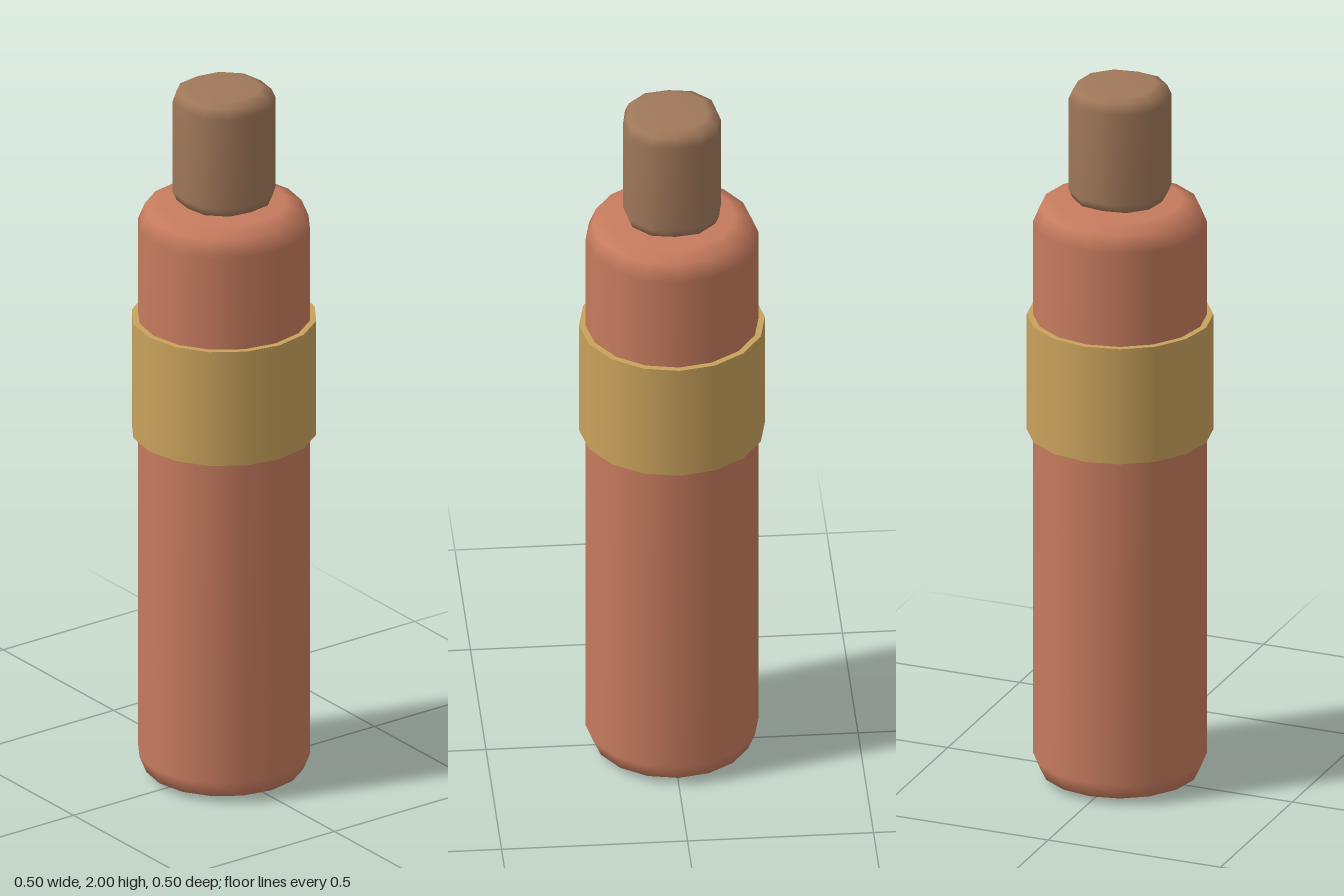
import * as THREE from 'three';

const material = (name, color) => {
  const m = new THREE.MeshStandardMaterial({ color });
  m.name = name;
  return m;
};

// Solid of revolution with both rims rounded in two steps
function roundedCylinder(radius, y0, y1, bevel, sides) {
  const points = [new THREE.Vector2(0, y0)];
  for (let i = 0; i <= 2; i++) {
    const a = (i * Math.PI) / 4;
    points.push(new THREE.Vector2(radius - bevel + bevel * Math.sin(a), y0 + bevel - bevel * Math.cos(a)));
  }
  for (let i = 0; i <= 2; i++) {
    const a = (i * Math.PI) / 4;
    points.push(new THREE.Vector2(radius - bevel + bevel * Math.cos(a), y1 - bevel + bevel * Math.sin(a)));
  }
  points.push(new THREE.Vector2(0, y1));
  return new THREE.LatheGeometry(points, sides);
}

export function createModel() {
  const group = new THREE.Group();
  const add = (name, geometry, mat) => {
    const mesh = new THREE.Mesh(geometry, mat);
    mesh.name = name;
    group.add(mesh);
    return mesh;
  };

  // Bottle body
  add('body', roundedCylinder(0.233, 0, 1.667, 0.065, 16), material('terracotta', 0xc67b5e));

  // Band around the body
  const band = add('band', new THREE.CylinderGeometry(0.25, 0.25, 0.333, 16), material('gold', 0xc9a25c));
  band.position.y = 1.167;

  // Stopper: twelve sides, slightly squared by pushing out the off-axis corners
  const stopper = roundedCylinder(0.132, 1.667, 2, 0.036, 12);
  const p = stopper.attributes.position;
  for (let i = 0; i < p.count; i++) {
    const x = p.getX(i), z = p.getZ(i);
    const k = Math.min(Math.abs(x), Math.abs(z)) > 0.001 ? 1.055 : 1;
    p.setX(i, x * k);
    p.setZ(i, z * k);
  }
  add('stopper', stopper, material('brown', 0xa0785a));

  return group;
}
